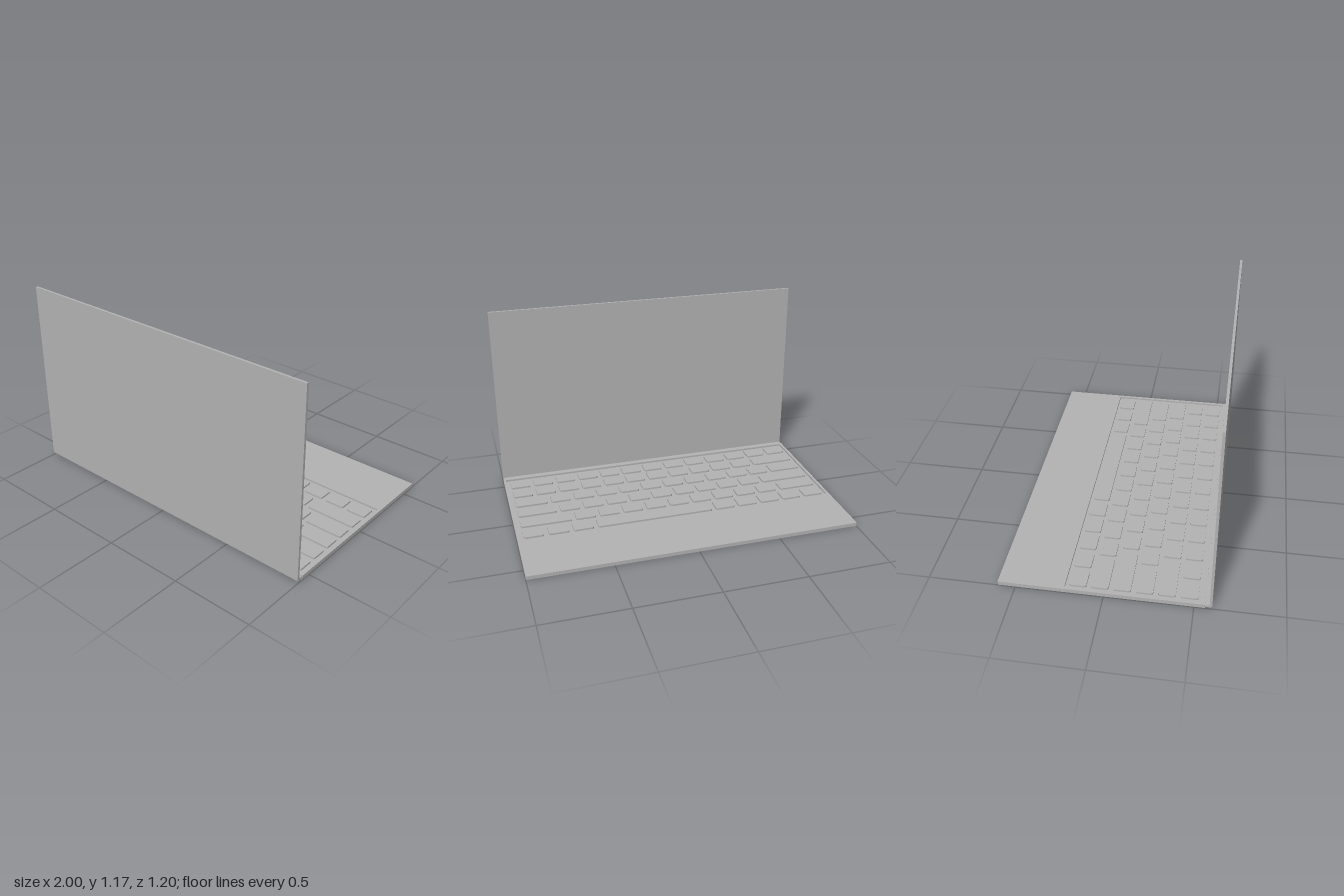
import * as THREE from 'three';

// Rounded rectangle outline in plan: x across, shape y = -z
function roundedRect(target, x0, y0, x1, y1, r) {
  target.moveTo(x0 + r, y0);
  target.lineTo(x1 - r, y0);
  target.quadraticCurveTo(x1, y0, x1, y0 + r);
  target.lineTo(x1, y1 - r);
  target.quadraticCurveTo(x1, y1, x1 - r, y1);
  target.lineTo(x0 + r, y1);
  target.quadraticCurveTo(x0, y1, x0, y1 - r);
  target.lineTo(x0, y0 + r);
  target.quadraticCurveTo(x0, y0, x0 + r, y0);
  return target;
}

// Flat slab extruded upward from height y
function slab(shape, y, height) {
  const geo = new THREE.ExtrudeGeometry(shape, { depth: height, bevelEnabled: false, curveSegments: 4 });
  return geo.rotateX(-Math.PI / 2).translate(0, y, 0);
}

export function createModel() {
  const group = new THREE.Group();
  const grey = new THREE.MeshStandardMaterial({ color: 0xb3b3b3 });
  grey.name = 'casing grey';

  const add = (name, geo, parent = group) => {
    const mesh = new THREE.Mesh(geo, grey);
    mesh.name = name;
    parent.add(mesh);
    return mesh;
  };
  const box = (name, x0, x1, y0, y1, z0, z1) =>
    add(name, new THREE.BoxGeometry(x1 - x0, y1 - y0, z1 - z0)
      .translate((x0 + x1) / 2, (y0 + y1) / 2, (z0 + z1) / 2));

  // Base: solid bottom plate plus a deck with the keyboard well cut out
  box('basePlate', -1, 1, 0.002, 0.014, -0.598, 0.56);
  const deck = roundedRect(new THREE.Shape(), -1, -0.56, 1, 0.6, 0.004);
  deck.holes.push(roundedRect(new THREE.Path(), -0.982, -0.542, 0.982, 0.222, 0.012));
  add('keyboardDeck', slab(deck, 0.014, 0.012));
  box('baseFoot', -0.994, 0.994, 0, 0.002, -0.592, 0.554);

  // Keys: widths in units per row, starting from +x, back row first
  const ones = (n) => Array(n).fill(1);
  const rows = [
    ones(13),
    [...ones(11), 2],
    [1.5, ...ones(10), 1.5],
    [1.75, ...ones(9), 2.25],
    [2.25, ...ones(9), 1.75],
    [1, 1, 1, 5, ...ones(5)],
  ];
  const pitchX = 0.15, pitchZ = 0.125, gap = 0.014;
  const keyboard = new THREE.Group();
  keyboard.name = 'keyboard';
  group.add(keyboard);
  rows.forEach((row, r) => {
    let x = 6.5 * pitchX;
    const z = 0.535 - r * pitchZ;
    row.forEach((units) => {
      const next = x - units * pitchX;
      const shape = roundedRect(new THREE.Shape(),
        next + gap, -z + gap, x - gap, -z + pitchZ - gap, 0.012);
      add('key', slab(shape, 0.014, 0.011), keyboard);
      x = next;
    });
  });

  // Hinge: strip joining base and screen, rounded at its lower outer edge
  const hinge = new THREE.Shape();
  hinge.moveTo(0.555, 0.009);
  hinge.lineTo(0.59, 0.009);
  hinge.quadraticCurveTo(0.598, 0.009, 0.598, 0.018);
  hinge.lineTo(0.598, 0.024);
  hinge.lineTo(0.555, 0.022);
  hinge.closePath();
  add('hinge', new THREE.ExtrudeGeometry(hinge, { depth: 1.996, bevelEnabled: false, curveSegments: 5 })
    .translate(0, 0, -0.998).rotateY(-Math.PI / 2));

  // Upright screen panel
  box('screen', -1, 1, 0.022, 1.172, 0.585, 0.6);

  return group;
}
